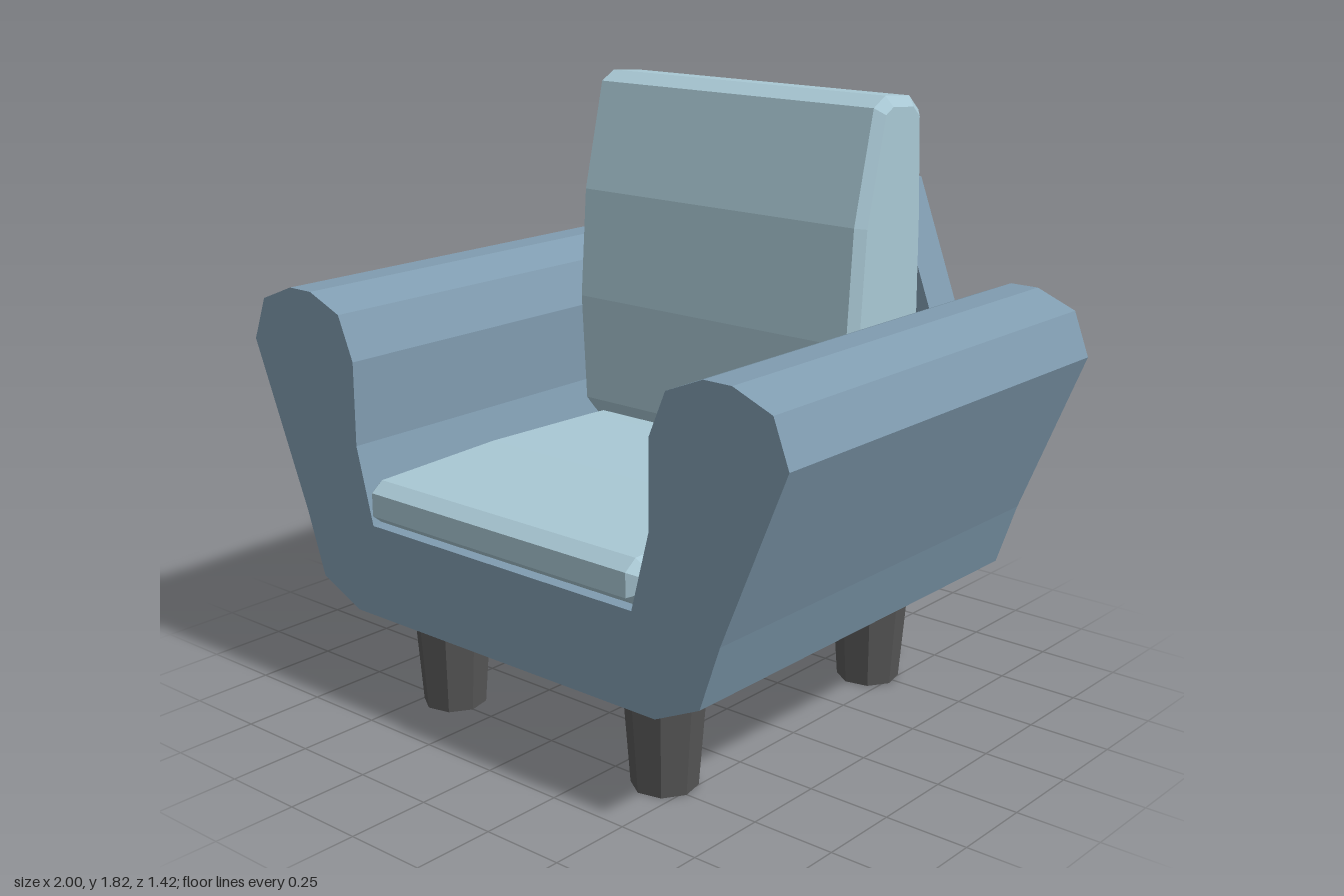
import * as THREE from 'three';

const shapeOf = (pts) => new THREE.Shape(pts.map(([x, y]) => new THREE.Vector2(x, y)));

// Closes a right-hand half profile by mirroring it across x = 0
const mirrored = (half) => [
  ...half,
  ...half.filter(([x]) => x !== 0).reverse().map(([x, y]) => [-x, y]),
];

// Extrudes a front profile along z
function slab(pts, zBack, zFront) {
  const g = new THREE.ExtrudeGeometry(shapeOf(pts), { depth: zFront - zBack, bevelEnabled: false });
  return g.translate(0, 0, zBack);
}

// Extrudes a (z, y) side profile along x, with bevelled ends
function cushion(pts, xMin, xMax, bevelThickness, bevelSize) {
  const g = new THREE.ExtrudeGeometry(shapeOf(pts.map(([z, y]) => [-z, y])), {
    depth: xMax - xMin - 2 * bevelThickness,
    bevelThickness, bevelSize, bevelOffset: -bevelSize, bevelSegments: 1,
  });
  return g.rotateY(Math.PI / 2).translate(xMin + bevelThickness, 0, 0);
}

export function createModel() {
  const group = new THREE.Group();
  const material = (name, color) => {
    const m = new THREE.MeshStandardMaterial({ color, flatShading: true });
    m.name = name;
    return m;
  };
  const frameBlue = material('frame blue', 0x809cb0);
  const cushionBlue = material('cushion light blue', 0xa9c8d4);
  const legGrey = material('leg dark grey', 0x555555);

  const add = (name, geometry, mat) => {
    const mesh = new THREE.Mesh(geometry, mat);
    mesh.name = name;
    group.add(mesh);
    return mesh;
  };

  // Base and both flared arms in one profile
  add('armsAndBase', slab(mirrored([
    [0.58, 0.32], [0.73, 0.39], [0.795, 0.58], [1, 1.08], [0.95, 1.21], [0.825, 1.26],
    [0.735, 1.26], [0.615, 1.21], [0.56, 1.08], [0.56, 0.83], [0.5, 0.6],
  ]), -0.71, 0.71), frameBlue);

  // Peaked back panel between the arms
  add('backPanel', slab(mirrored([
    [0.5, 0.6], [0.56, 0.83], [0.56, 1.14], [0.41, 1.54], [0, 1.7],
  ]), -0.71, -0.57), frameBlue);

  // Slightly domed seat cushion
  add('seatCushion', cushion([
    [-0.56, 0.605], [0.68, 0.605], [0.71, 0.63], [0.71, 0.7], [0.67, 0.73],
    [0.22, 0.745], [-0.22, 0.735], [-0.56, 0.72],
  ], -0.53, 0.51, 0.03, 0.025), cushionBlue);

  // Upright back cushion
  add('backCushion', cushion([
    [-0.29, 0.72], [-0.24, 0.78], [-0.22, 1.12], [-0.245, 1.46], [-0.325, 1.79], [-0.38, 1.82],
    [-0.5, 1.81], [-0.55, 1.765], [-0.565, 1.46], [-0.57, 1.12], [-0.56, 0.78], [-0.52, 0.72],
  ], -0.56, 0.52, 0.025, 0.03), cushionBlue);

  // Four tapered eight-sided legs
  const leg = new THREE.CylinderGeometry(0.12, 0.095, 0.33, 8, 1, false, THREE.MathUtils.degToRad(35));
  for (const [side, x] of [['Left', 0.42], ['Right', -0.42]]) {
    for (const [end, z] of [['front', 0.485], ['back', -0.49]]) {
      add(`${end}${side}Leg`, leg, legGrey).position.set(x, 0.165, z);
    }
  }
  return group;
}
